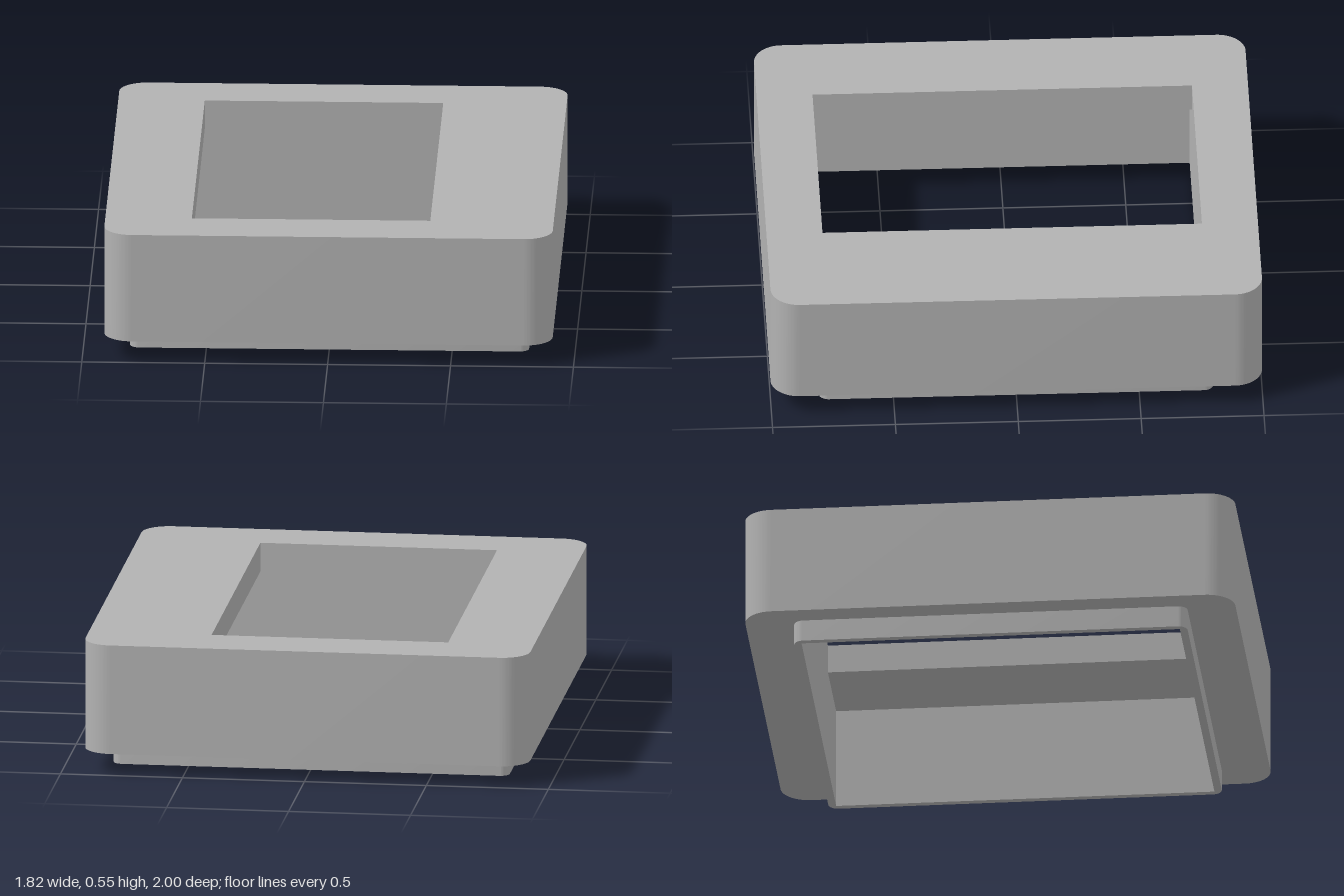
import * as THREE from 'three';
import { mergeGeometries, toCreasedNormals } from 'three/addons/utils/BufferGeometryUtils.js';

// Counter-clockwise rectangle path with optional rounded corners (shape y becomes -z)
function rect(x0, x1, z, r = 0) {
  const s = new THREE.Shape();
  if (!r) {
    s.moveTo(x0, -z).lineTo(x1, -z).lineTo(x1, z).lineTo(x0, z).closePath();
    return s;
  }
  s.absarc(x1 - r, -z + r, r, -Math.PI / 2, 0);
  s.absarc(x1 - r, z - r, r, 0, Math.PI / 2);
  s.absarc(x0 + r, z - r, r, Math.PI / 2, Math.PI);
  s.absarc(x0 + r, -z + r, r, Math.PI, Math.PI * 1.5);
  s.closePath();
  return s;
}

// Horizontal face at height y, facing up or down, with an optional hole
function cap(outline, y, up, hole) {
  const s = outline.clone();
  if (hole) s.holes.push(hole);
  const g = new THREE.ShapeGeometry(s, 16).toNonIndexed();
  g.deleteAttribute('uv');
  g.rotateX(-Math.PI / 2).translate(0, y, 0);
  if (!up) {
    const p = g.attributes.position.array;
    for (let i = 0; i < p.length; i += 9)
      for (let k = 0; k < 3; k++) [p[i + 3 + k], p[i + 6 + k]] = [p[i + 6 + k], p[i + 3 + k]];
  }
  g.computeVertexNormals();
  return g;
}

// Vertical wall along an outline, facing outward or inward
function wall(outline, y0, y1, outward) {
  const pts = outline.getPoints(16);
  const pos = [];
  for (let i = 0; i < pts.length; i++) {
    let a = pts[i], b = pts[(i + 1) % pts.length];
    if (a.distanceTo(b) < 1e-6) continue;
    if (!outward) [a, b] = [b, a];
    pos.push(a.x, y0, -a.y, b.x, y0, -b.y, b.x, y1, -b.y);
    pos.push(a.x, y0, -a.y, b.x, y1, -b.y, a.x, y1, -a.y);
  }
  const g = new THREE.BufferGeometry();
  g.setAttribute('position', new THREE.Float32BufferAttribute(pos, 3));
  return toCreasedNormals(g, Math.PI / 6);
}

export function createModel() {
  const grey = new THREE.MeshStandardMaterial({ color: 0xb2b2b2 });
  grey.name = 'plain grey';
  const group = new THREE.Group();
  group.name = 'bezelFrame';

  const TOP = 0.545, CEILING = 0.425, SHOULDER = 0.09;
  const outer = rect(-0.912, 0.912, 1, 0.115);
  const lip = rect(-0.812, 0.812, 0.803, 0.04);
  const cavity = rect(-0.785, 0.785, 0.772);
  const opening = rect(-0.56, 0.41, 0.772);

  const add = (name, ...parts) => {
    const mesh = new THREE.Mesh(mergeGeometries(parts), grey);
    mesh.name = name;
    group.add(mesh);
  };

  // Outer housing: rounded sides, top face with the offset window, underside shoulder
  add('housing',
    wall(outer, SHOULDER, TOP, true),
    cap(outer, TOP, true, opening),
    cap(outer, SHOULDER, false, lip));

  // Thin locating lip below the housing
  add('locatingLip',
    wall(lip, 0, SHOULDER, true),
    cap(lip, 0, false, cavity));

  // Window edge and the hollow behind it, wider than the window on both sides
  add('windowEdge', wall(opening, CEILING, TOP, false));
  add('cavity',
    wall(cavity, 0, CEILING, false),
    cap(rect(-0.785, -0.56, 0.772), CEILING, false),
    cap(rect(0.41, 0.785, 0.772), CEILING, false));

  return group;
}
